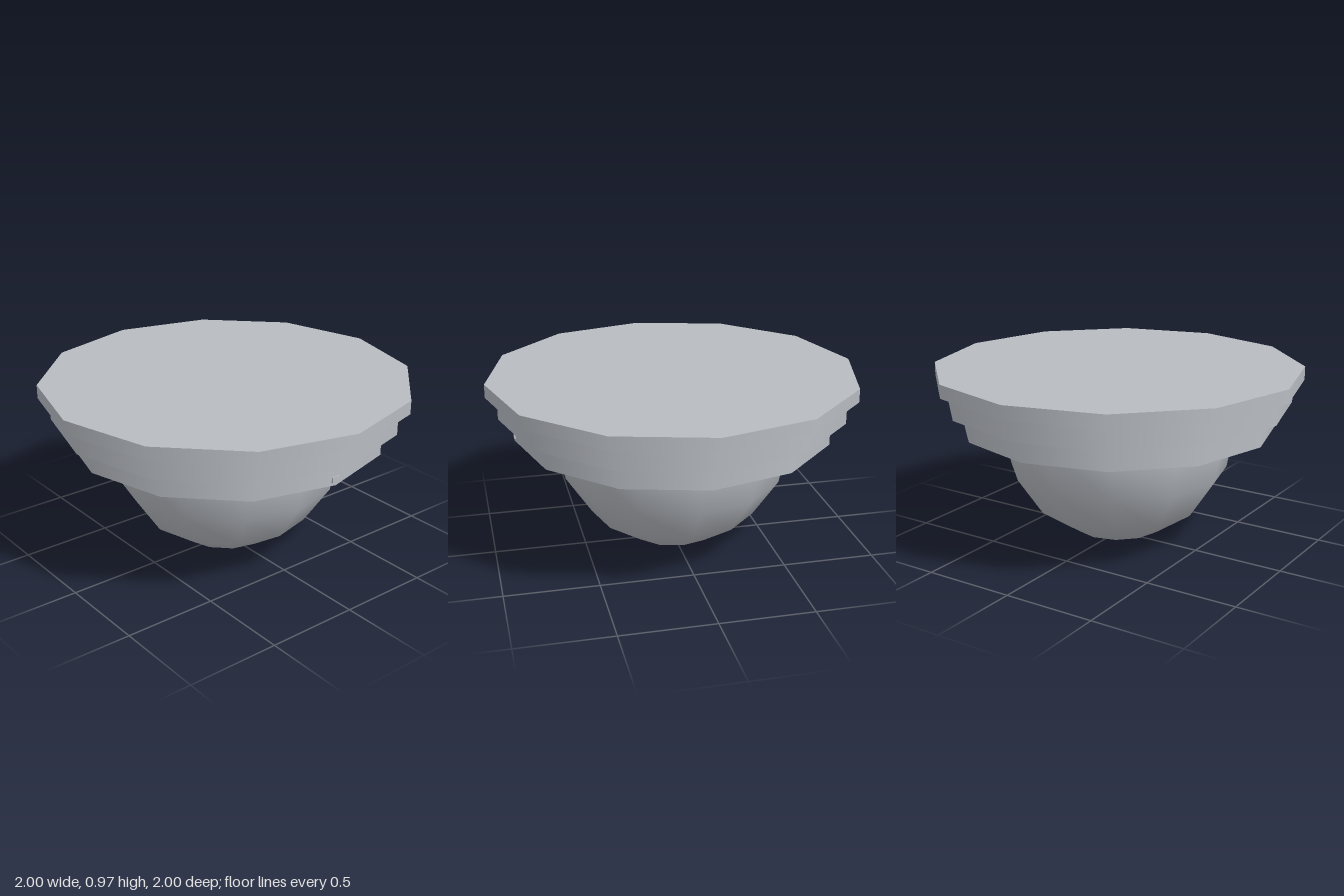
import * as THREE from 'three';

const SIDES = 12;

export function createModel() {
  const group = new THREE.Group();
  const grey = new THREE.MeshStandardMaterial({ color: 0xb8bcc2 });
  grey.name = 'light grey';

  const add = (name, geometry, x, y, z) => {
    const mesh = new THREE.Mesh(geometry, grey);
    mesh.name = name;
    mesh.position.set(x, y, z);
    group.add(mesh);
  };

  // Stepped mounting plate: radius, bottom, top
  const tiers = [
    ['topPlate', 1, 0.9, 0.973],
    ['middlePlate', 0.94, 0.777, 0.9],
    ['lowerPlate', 0.86, 0.651, 0.777],
  ];
  for (const [name, radius, bottom, top] of tiers) {
    add(name, new THREE.CylinderGeometry(radius, radius, top - bottom, SIDES), 0, (bottom + top) / 2, 0);
  }

  // Hanging dome, the lower half of a sphere
  add('dome', new THREE.SphereGeometry(0.647, SIDES, 4, 0, Math.PI * 2, Math.PI / 2, Math.PI / 2), 0, 0.651, 0);

  // Small catch on the front corner of the lower plate
  add('catch', new THREE.BoxGeometry(0.045, 0.03, 0.03), 0, 0.683, 0.848);

  return group;
}
